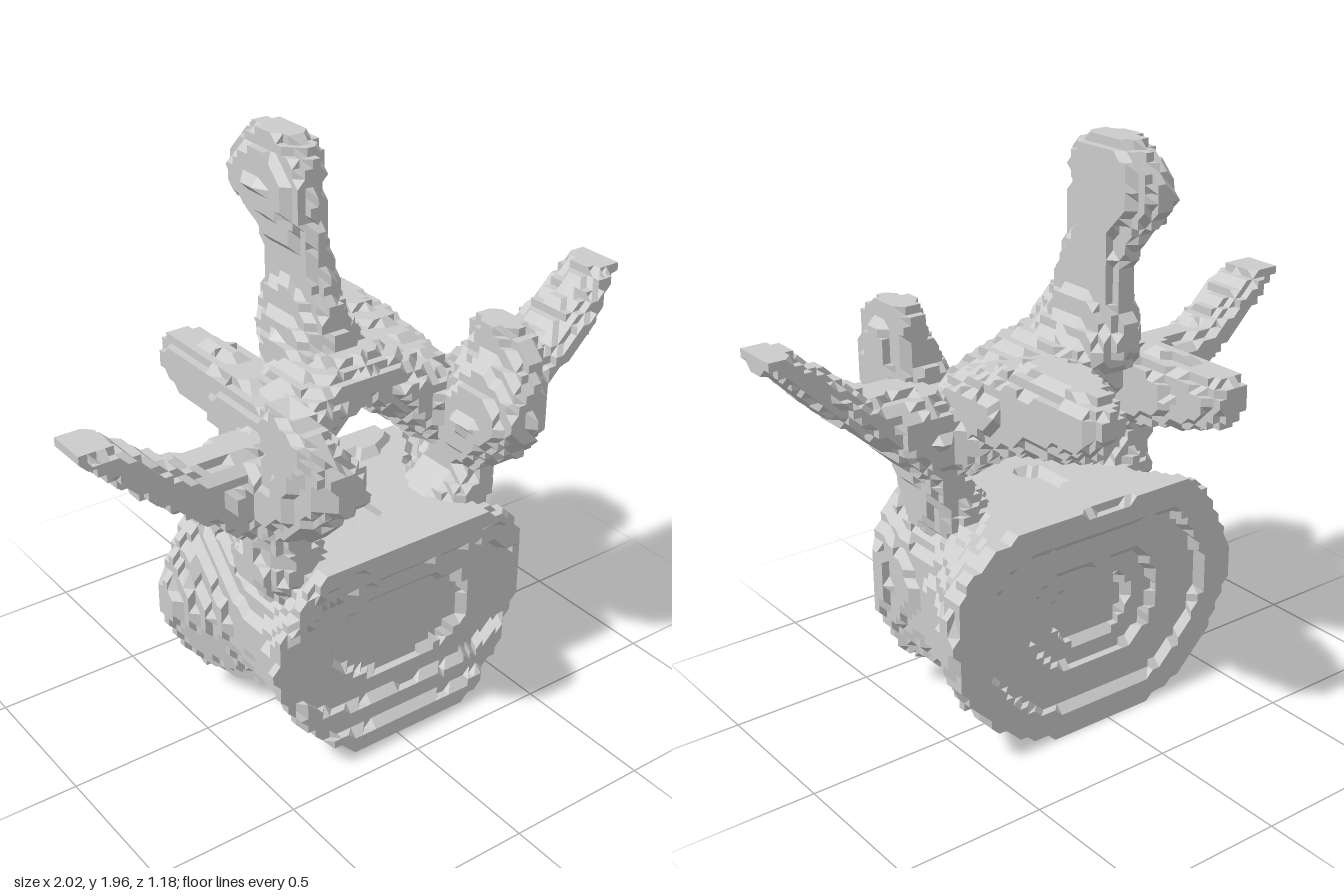
import * as THREE from 'three';

const CELL = 0.028; // stepped, scan-like surface grid
const V = (x, y, z) => new THREE.Vector3(x, y, z);
const X = V(1, 0, 0), Y = V(0, 1, 0), Z = V(0, 0, 1);
const material = new THREE.MeshStandardMaterial({ color: 0xcccccc, flatShading: true });

// Joins closed rings of points into a capped, stepped skin
function skin(name, rings, flip) {
  const n = rings[0].length, pos = [];
  const snap = p => V(...p.toArray().map(c => Math.round(c / CELL) * CELL));
  const pts = rings.map(r => r.map(snap));
  const tri = (a, b, c) => {
    if (a.equals(b) || b.equals(c) || a.equals(c)) return;
    for (const p of flip ? [a, c, b] : [a, b, c]) pos.push(p.x, p.y, p.z);
  };
  const middle = r => snap(r.reduce((s, p) => s.add(p), V(0, 0, 0)).divideScalar(n));
  const first = middle(rings[0]), last = middle(rings[rings.length - 1]);
  for (let j = 0; j < n; j++) {
    const k = (j + 1) % n;
    for (let i = 0; i < pts.length - 1; i++) {
      tri(pts[i][j], pts[i][k], pts[i + 1][k]);
      tri(pts[i][j], pts[i + 1][k], pts[i + 1][j]);
    }
    tri(first, pts[0][k], pts[0][j]);
    tri(last, pts[pts.length - 1][j], pts[pts.length - 1][k]);
  }
  const geo = new THREE.BufferGeometry();
  geo.setAttribute('position', new THREE.Float32BufferAttribute(pos, 3));
  geo.computeVertexNormals();
  const mesh = new THREE.Mesh(geo, material);
  mesh.name = name;
  return mesh;
}

// Limb with rounded-oblong sections; stations are [x, y, z, radiusU, radiusW]
function limb(name, u, w, stations, around = 44) {
  const smooth = list => new THREE.CatmullRomCurve3(list, false, 'catmullrom');
  const path = smooth(stations.map(s => V(s[0], s[1], s[2])));
  const size = smooth(stations.map(s => V(s[3], s[4], 0)));
  const steps = Math.ceil(path.getLength() / CELL * 1.3);
  const round = v => Math.sign(v) * Math.abs(v) ** 0.9;
  const rings = [];
  for (let i = 0; i <= steps; i++) {
    const c = path.getPoint(i / steps), s = size.getPoint(i / steps);
    rings.push(Array.from({ length: around }, (_, j) => {
      const a = j / around * Math.PI * 2;
      return c.clone().addScaledVector(u, round(Math.cos(a)) * s.x)
        .addScaledVector(w, round(Math.sin(a)) * s.y);
    }));
  }
  const along = path.getPoint(1).sub(path.getPoint(0));
  return skin(name, rings, u.clone().cross(w).dot(along) < 0);
}

// Drum-shaped body: one outline scaled along z, waisted, with dished end plates
function body() {
  const outline = new THREE.CatmullRomCurve3([
    [0.61, 0.42], [0.59, 0.6], [0.5, 0.72], [0.36, 0.775], [0, 0.77], [-0.36, 0.765],
    [-0.46, 0.64], [-0.54, 0.42], [-0.49, 0.27], [-0.4, 0.14], [-0.26, 0.03],
    [0, 0.005], [0.32, 0.03], [0.46, 0.13], [0.57, 0.26],
  ].map(p => V(p[0], p[1], 0)), true).getSpacedPoints(100).slice(0, 100);
  // [z, scaleX, scaleY]
  const sections = [
    [-0.13, 0.02, 0.02], [-0.14, 0.2, 0.2], [-0.17, 0.35, 0.35], [-0.19, 0.55, 0.55],
    [-0.21, 0.75, 0.75], [-0.22, 0.95, 0.96], [-0.19, 1, 1], [-0.13, 0.97, 0.98],
    [-0.04, 0.88, 0.94], [0.06, 0.81, 0.92], [0.18, 0.79, 0.92], [0.28, 0.83, 0.94],
    [0.35, 0.87, 0.96], [0.37, 0.8, 0.9], [0.36, 0.68, 0.75], [0.35, 0.5, 0.5],
    [0.335, 0.25, 0.25], [0.33, 0.02, 0.02],
  ];
  const curve = new THREE.CatmullRomCurve3(sections.map(s => V(...s)), false, 'catmullrom');
  // Upper and lower front lips bulge forward
  const rings = curve.getPoints(85).map(s => outline.map(p => {
    const y = 0.4 + (p.y - 0.4) * s.z;
    const lip = Math.min(1, Math.abs(y - 0.4) / 0.32) ** 2;
    return V(0.03 + (p.x - 0.03) * s.y, y, s.x + Math.max(s.x, 0) * 0.13 * lip);
  }));
  return skin('vertebralBody', rings, false);
}

export function createModel() {
  const group = new THREE.Group();
  group.name = 'vertebra';
  group.add(body());

  // Tall blade rising from a broad, forward-sloping root
  group.add(limb('spinousProcess', X, Z, [
    [0, 1.16, 0.06, 0.07, 0.14], [0, 1.21, 0.01, 0.17, 0.19], [-0.01, 1.28, -0.05, 0.165, 0.21],
    [-0.025, 1.36, -0.085, 0.115, 0.19], [-0.03, 1.45, -0.09, 0.08, 0.17], [-0.03, 1.56, -0.11, 0.062, 0.15],
    [-0.05, 1.68, -0.155, 0.072, 0.17], [-0.06, 1.79, -0.19, 0.095, 0.205],
    [-0.045, 1.9, -0.18, 0.08, 0.165], [-0.05, 1.95, -0.18, 0.055, 0.1],
  ]));

  // Paired arch parts
  for (const [side, s] of [['left', 1], ['right', -1]]) {
    const px = s > 0 ? 0.405 : 0.365;
    group.add(limb(side + 'Pedicle', X, Z, [
      [s * 0.28, 0.56, 0.18, 0.08, 0.12], [s * 0.33, 0.7, 0.185, 0.13, 0.15],
      [s * (px - 0.045), 0.78, 0.19, 0.115, 0.15], [s * px, 0.87, 0.19, 0.09, 0.14],
      [s * px, 0.98, 0.2, 0.12, 0.16], [s * px, 1.12, 0.21, 0.1, 0.14],
    ]));
    group.add(limb(side + 'Lamina', Z, Y, [
      [0, 1.235, 0.06, 0.16, 0.09], [s * 0.12, 1.18, 0.06, 0.18, 0.125], [s * 0.24, 1.1, 0.08, 0.19, 0.145],
      [s * 0.34, 1.03, 0.13, 0.18, 0.14], [s * 0.44, 1, 0.18, 0.13, 0.11],
    ]));
  }

  // Forward-leaning upper joint horns
  group.add(limb('leftSuperiorArticularProcess', X, Z, [
    [0.39, 0.87, 0.25, 0.07, 0.09], [0.38, 0.98, 0.31, 0.12, 0.17], [0.355, 1.1, 0.38, 0.12, 0.19],
    [0.37, 1.22, 0.4, 0.1, 0.16], [0.4, 1.33, 0.38, 0.062, 0.14], [0.4, 1.39, 0.36, 0.055, 0.08],
  ]));
  group.add(limb('rightSuperiorArticularProcess', X, Z, [
    [-0.36, 0.87, 0.25, 0.07, 0.09], [-0.36, 0.98, 0.32, 0.11, 0.18], [-0.345, 1.1, 0.4, 0.12, 0.19],
    [-0.37, 1.2, 0.42, 0.1, 0.17], [-0.41, 1.28, 0.4, 0.07, 0.14], [-0.41, 1.33, 0.38, 0.055, 0.08],
  ]));

  // Backward-pointing lower joint lobes
  group.add(limb('leftInferiorArticularProcess', X, Y, [
    [0.3, 1.08, 0.14, 0.1, 0.13], [0.26, 1.13, -0.05, 0.13, 0.15], [0.24, 1.165, -0.2, 0.13, 0.15],
    [0.25, 1.19, -0.36, 0.115, 0.135], [0.285, 1.215, -0.5, 0.08, 0.095], [0.295, 1.24, -0.6, 0.03, 0.035],
  ]));
  group.add(limb('rightInferiorArticularProcess', X, Y, [
    [-0.29, 1.07, 0.14, 0.1, 0.12], [-0.25, 1.1, -0.05, 0.12, 0.13], [-0.24, 1.125, -0.2, 0.105, 0.125],
    [-0.25, 1.135, -0.34, 0.09, 0.11], [-0.255, 1.15, -0.45, 0.075, 0.085], [-0.26, 1.16, -0.51, 0.04, 0.045],
  ]));

  // Side wings
  group.add(limb('leftTransverseProcess', Z, Y, [
    [0.35, 1, 0.17, 0.15, 0.13], [0.5, 1.05, 0.16, 0.145, 0.145], [0.65, 1.125, 0.19, 0.135, 0.08],
    [0.8, 1.24, 0.2, 0.13, 0.072], [0.93, 1.35, 0.18, 0.1, 0.055], [1, 1.38, 0.17, 0.08, 0.025],
  ]));
  group.add(limb('rightTransverseProcess', Z, Y, [
    [-0.33, 0.98, 0.16, 0.14, 0.14], [-0.45, 0.99, 0.15, 0.13, 0.165], [-0.6, 1.04, 0.155, 0.105, 0.1],
    [-0.75, 1.13, 0.16, 0.1, 0.075], [-0.9, 1.25, 0.16, 0.1, 0.06], [-1, 1.3, 0.16, 0.07, 0.025],
  ]));
  return group;
}
